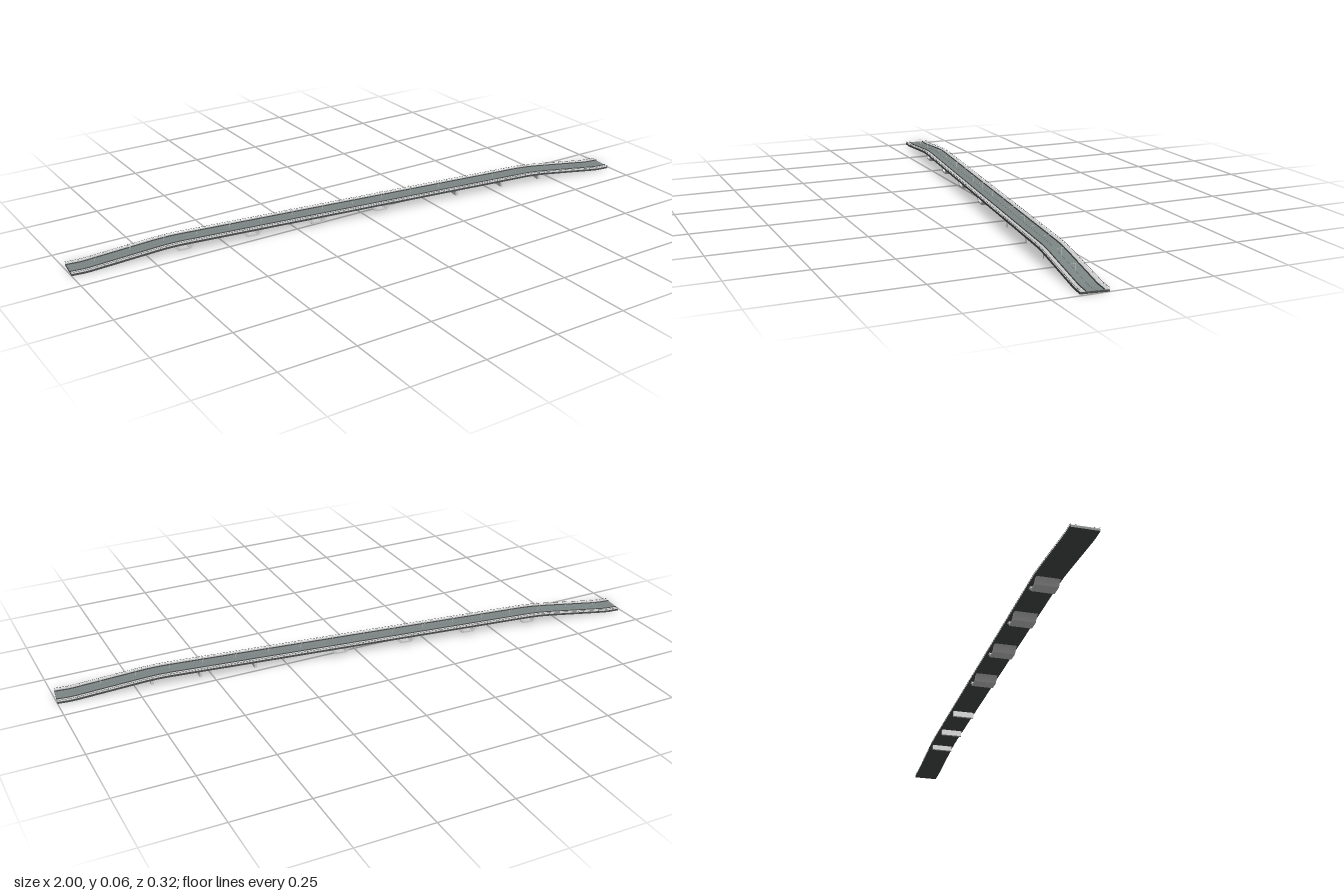
import * as THREE from 'three';

const HALF = 1.002;   // half length along the deck
const SKEW = 0.119;   // heading of the deck in plan

const mat = (color) => new THREE.MeshStandardMaterial({ color, flatShading: true });
const grey = mat(0xcccccc);
const road = mat(0x7d8785);
const dark = mat(0x4a4d4d);

// Height of the road surface: flat middle, eased crest, straight ramps
function deckY(x) {
  const top = 0.036, slope = 0.106, crest = 0.63, ease = 0.1;
  const d = Math.abs(x) - crest;
  if (d <= 0) return top;
  if (d < ease) return top - slope * d * d / (2 * ease);
  return Math.max(0.007, top - slope * (d - ease / 2));
}

export function createModel() {
  const bridge = new THREE.Group();
  bridge.name = 'bridge';
  bridge.rotation.y = -SKEW;

  const add = (name, geometry, material, x = 0, y = 0, z = 0, parent = bridge) => {
    const mesh = new THREE.Mesh(geometry, material);
    mesh.name = name;
    mesh.position.set(x, y, z);
    parent.add(mesh);
    return mesh;
  };

  // A long bar that follows the road; y0 and y1 are measured from the surface
  const strip = (name, z, width, y0, y1, material) => {
    const g = new THREE.BoxGeometry(2 * HALF, y1 - y0, width, 100, 1, 1);
    const p = g.attributes.position;
    for (let i = 0; i < p.count; i++) {
      p.setY(i, p.getY(i) + (y0 + y1) / 2 + deckY(p.getX(i)));
    }
    g.computeVertexNormals();
    return add(name, g, material, 0, 0, z);
  };

  // Deck, walkways, barriers and edge rails
  strip('deckSlab', 0, 0.085, -0.007, -0.0005, dark);
  strip('roadway', 0, 0.054, -0.0005, 0.0005, road);
  strip('median', 0, 0.002, 0.0005, 0.0012, road);
  for (const side of [-1, 1]) {
    strip('walkway', side * 0.0345, 0.015, -0.0005, 0.001, grey);
    strip('barrier', side * 0.0265, 0.0025, 0.0005, 0.0035, dark);
    strip('edgeRail', side * 0.0418, 0.0007, 0.0042, 0.0049, dark);
  }

  // Edge rail posts
  const postGeo = new THREE.BoxGeometry(0.0007, 0.0045, 0.0007);
  for (let i = -50; i <= 50; i++) {
    for (const side of [-1, 1]) {
      const x = i * 0.02;
      add('railPost', postGeo, dark, x, deckY(x) + 0.00225, side * 0.0418);
    }
  }

  // Hollow flared piers
  const depth = 0.074;
  const flare = new THREE.Shape();
  flare.moveTo(-0.045, 0.033);
  flare.lineTo(-0.045, 0.029);
  flare.quadraticCurveTo(-0.033, 0.027, -0.021, 0.01);
  flare.lineTo(0.021, 0.01);
  flare.quadraticCurveTo(0.033, 0.027, 0.045, 0.029);
  flare.lineTo(0.045, 0.033);
  const hollow = new THREE.Path();
  hollow.moveTo(-0.028, 0.03);
  hollow.lineTo(0.028, 0.03);
  hollow.lineTo(0.013, 0.015);
  hollow.lineTo(-0.013, 0.015);
  hollow.closePath();
  flare.holes.push(hollow);
  const flareGeo = new THREE.ExtrudeGeometry(flare, { depth, bevelEnabled: false, curveSegments: 6 });
  flareGeo.translate(0, 0, -depth / 2);
  for (const x of [-0.635, -0.405, -0.175, 0.06]) {
    add('flaredPier', flareGeo, grey, x / Math.cos(SKEW));
  }

  // Slim wall piers
  const wallGeo = new THREE.BoxGeometry(0.009, 0.023, depth);
  for (const x of [0.355, 0.538, 0.695]) {
    add('wallPier', wallGeo, grey, x / Math.cos(SKEW), 0.0205);
  }

  // Double-armed lamps down the middle
  const poleGeo = new THREE.CylinderGeometry(0.0004, 0.0006, 0.022, 6);
  const armGeo = new THREE.BoxGeometry(0.0006, 0.0006, 0.024);
  const headGeo = new THREE.BoxGeometry(0.0016, 0.0008, 0.004);
  for (let i = -8; i <= 8; i++) {
    const x = -0.03 + i * 0.111;
    const lamp = new THREE.Group();
    lamp.name = 'lamp';
    lamp.position.set(x, deckY(x), 0);
    add('lampPole', poleGeo, grey, 0, 0.011, 0, lamp);
    add('lampArm', armGeo, grey, 0, 0.022, 0, lamp);
    for (const side of [-1, 1]) {
      add('lampHead', headGeo, grey, 0, 0.0218, side * 0.012, lamp);
    }
    bridge.add(lamp);
  }

  const model = new THREE.Group();
  model.name = 'skewedBridge';
  model.add(bridge);
  return model;
}
